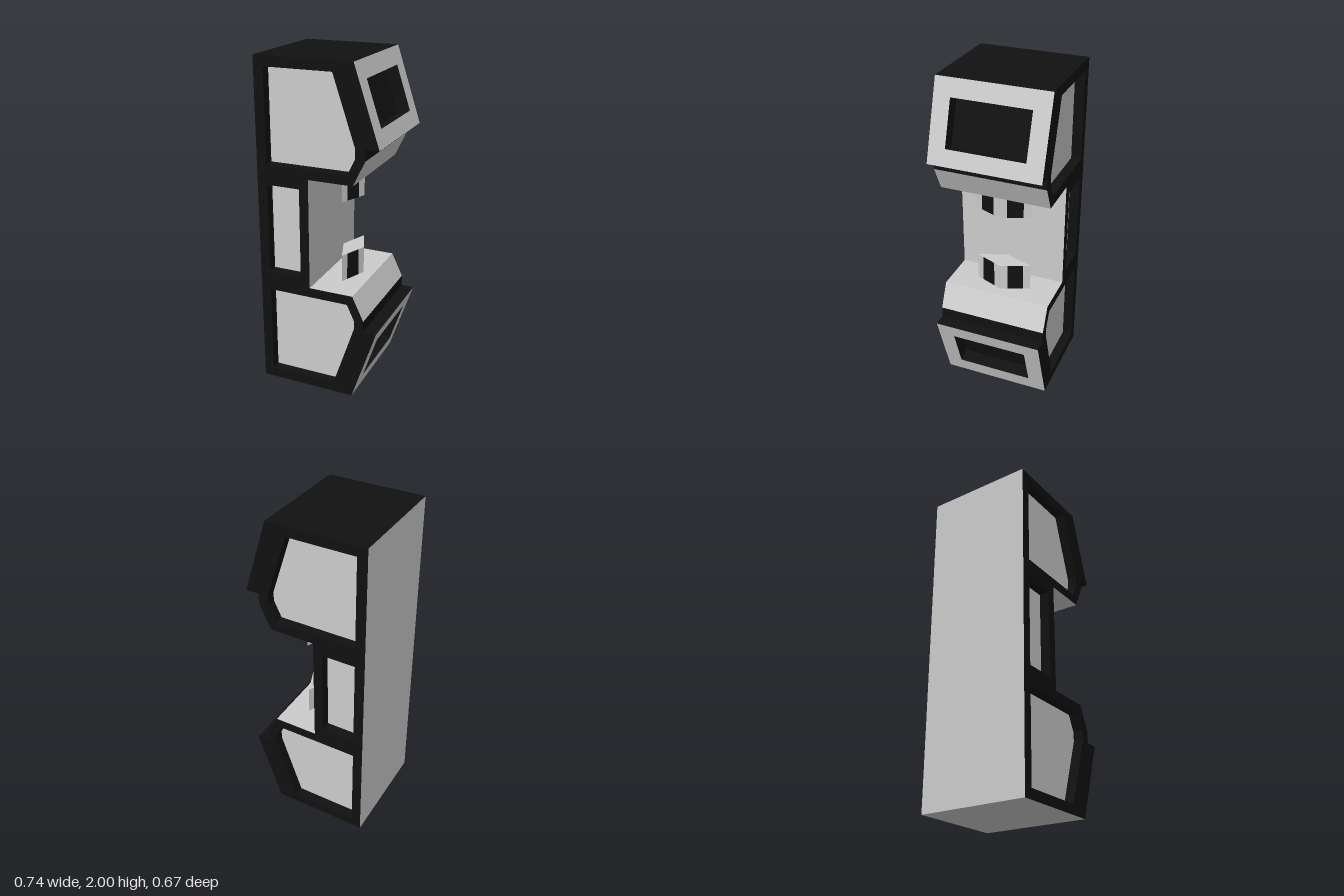
import * as THREE from 'three';

const grey = new THREE.MeshStandardMaterial({ color: 0xcccccc });
const dark = new THREE.MeshStandardMaterial({ color: 0x111111 });
const HALF = 0.333; // half depth of the body

function add(parent, name, geometry, material) {
  const mesh = new THREE.Mesh(geometry, material);
  mesh.name = name;
  parent.add(mesh);
  return mesh;
}

// Flat wall over the edge a-b, from z0 to z1; it faces outward on a
// counter-clockwise outline when z0 < z1 and inward when z0 > z1
function wall(parent, name, a, b, z0, z1, material) {
  const p = [[...a, z0], [...b, z0], [...b, z1], [...a, z1]];
  const geometry = new THREE.BufferGeometry();
  const corners = [0, 1, 2, 0, 2, 3].flatMap(i => p[i]);
  geometry.setAttribute('position', new THREE.Float32BufferAttribute(corners, 3));
  geometry.computeVertexNormals();
  return add(parent, name, geometry, material);
}

const vectors = points => points.map(([x, y]) => new THREE.Vector2(x, y));
const edges = (points, fn) => points.forEach((p, i) => fn(p, points[(i + 1) % points.length], i));

// Flat face with recessed panels, in the local xy plane facing +z
function recessedFace(name, outline, holes, depth, faceMaterial, panelMaterial) {
  const group = new THREE.Group();
  group.name = name;
  const shape = new THREE.Shape(vectors(outline));
  for (const hole of holes) {
    shape.holes.push(new THREE.Path(vectors(hole)));
    edges(hole, (a, b) => wall(group, 'recessWall', a, b, 0, -depth, dark));
    const panel = new THREE.ShapeGeometry(new THREE.Shape(vectors(hole)));
    add(group, 'recessPanel', panel.translate(0, 0, -depth), panelMaterial);
  }
  add(group, 'frame', new THREE.ShapeGeometry(shape), faceMaterial);
  return group;
}

const rect = (x0, y0, x1, y1) => [[x0, y0], [x1, y0], [x1, y1], [x0, y1]];

// Side profile: lower half, then the same points mirrored about y = 1
const lower = [[-0.37, 0], [0.22, 0], [0.37, 0.453], [0.29, 0.453], [0.29, 0.52], [0.22, 0.667], [-0.05, 0.667]];
const mirrored = points => points.map(([x, y]) => [x, 2 - y]).reverse();
const outline = [...lower, ...mirrored(lower)];

const lowerPanel = [[-0.31, 0.06], [0.1, 0.06], [0.232, 0.457], [0.232, 0.512], [0.187, 0.608], [-0.31, 0.608]];
const panels = [lowerPanel, rect(-0.31, 0.73, -0.107, 1.27), mirrored(lowerPanel)];

// Sloped face with its window
function slopedFace() {
  const [bottom, top] = vectors([lower[1], lower[2]]);
  const length = bottom.distanceTo(top);
  const d = top.clone().sub(bottom).normalize();
  const face = recessedFace('slopedFace', rect(-HALF, 0, HALF, length),
    [rect(-0.233, 0.22 * length, 0.233, 0.795 * length)], 0.08, grey, dark);
  const basis = new THREE.Matrix4().makeBasis(
    new THREE.Vector3(0, 0, -1),
    new THREE.Vector3(d.x, d.y, 0),
    new THREE.Vector3(d.y, -d.x, 0));
  face.applyMatrix4(basis.setPosition(bottom.x, bottom.y, 0));
  return face;
}

// Diamond-section prong with a dark strip on each forward face
function prong() {
  const group = new THREE.Group();
  group.name = 'prong';
  const tip = [0.155, 0], back = [0.02, 0], sideA = [0.085, -0.172], sideB = [0.085, 0.172];
  const mix = (a, b, t) => [a[0] + (b[0] - a[0]) * t, a[1] + (b[1] - a[1]) * t];
  const ring = [back, sideA, mix(sideA, tip, 0.24), mix(sideA, tip, 0.75), tip,
    mix(tip, sideB, 0.25), mix(tip, sideB, 0.76), sideB];
  edges(ring, (a, b, i) => {
    const isStrip = i === 2 || i === 5;
    wall(group, isStrip ? 'darkStrip' : 'prongSide', a, b, 0.667, 0.833, isStrip ? dark : grey);
  });
  const cap = new THREE.ShapeGeometry(new THREE.Shape(vectors(ring)));
  add(group, 'prongEnd', cap.translate(0, 0, 0.833), grey);
  group.rotation.x = -Math.PI / 2;
  return group;
}

export function createModel() {
  const model = new THREE.Group();

  // Outer shell around the profile; the sloped edges are built separately
  const shell = new THREE.Group();
  shell.name = 'shell';
  const slopes = [1, 11], darkEdges = [2, 3, 9, 10, 12];
  edges(outline, (a, b, i) => {
    if (slopes.includes(i)) return;
    const isDark = darkEdges.includes(i);
    wall(shell, isDark ? 'darkShellFace' : 'shellFace', a, b, -HALF, HALF, isDark ? dark : grey);
  });
  model.add(shell);

  // Each half-turn about the x axis gives the other side and the other end
  for (const turned of [false, true]) {
    const side = recessedFace('sideFrame', outline, panels, 0.06, dark, grey);
    side.position.z = HALF;
    const half = new THREE.Group();
    half.name = turned ? 'upperHalf' : 'lowerHalf';
    half.add(side, slopedFace(), prong());
    if (turned) {
      half.rotation.x = Math.PI;
      half.position.y = 2;
    }
    model.add(half);
  }
  return model;
}
